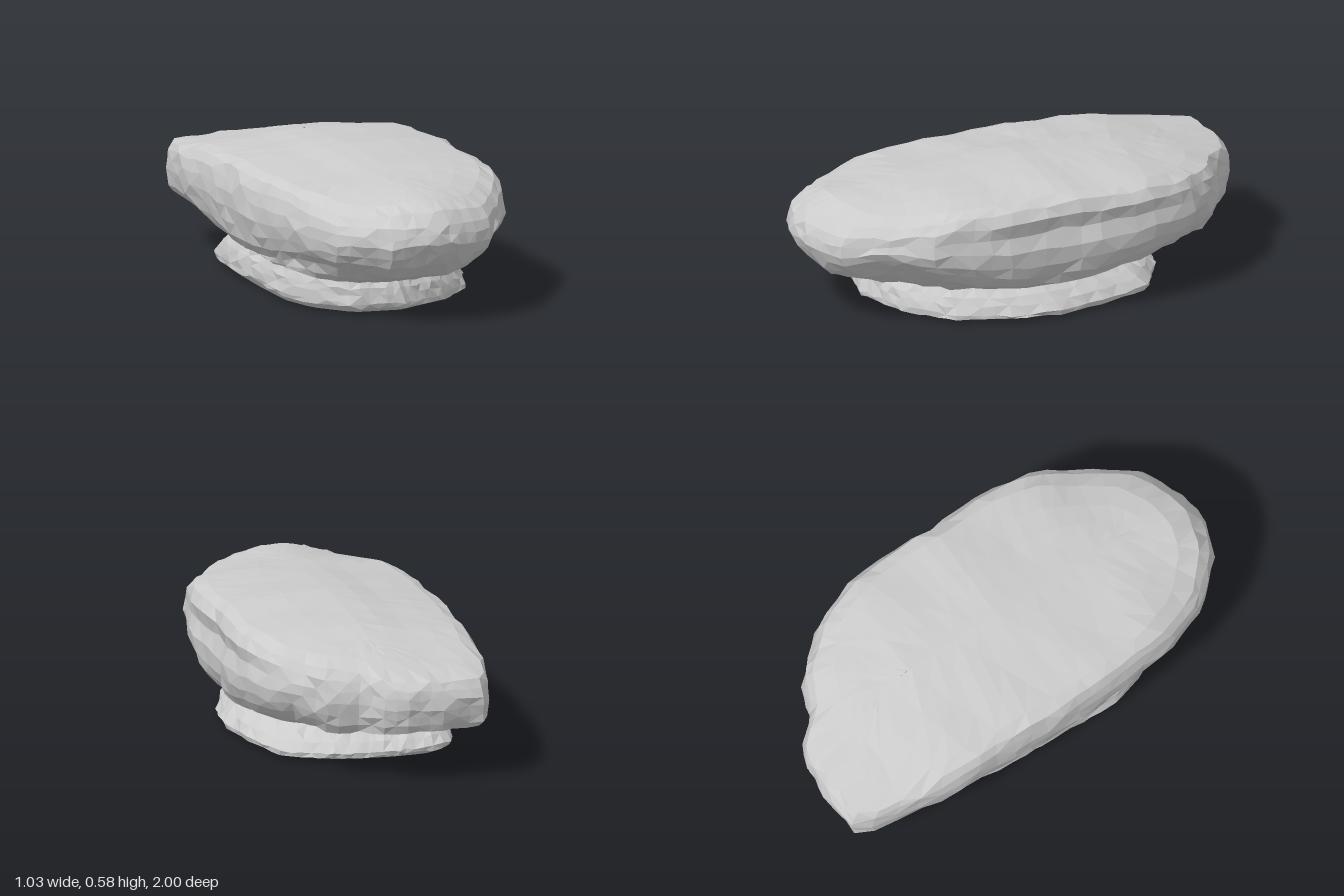
import * as THREE from 'three';

const SEG = 72;
const clamp01 = (v) => THREE.MathUtils.clamp(v, 0, 1);

// Outlines seen from above, as [x, z]
const SLAB = [
  [-0.4, -0.98], [-0.2, -1], [-0.05, -0.985], [0.05, -0.94], [0.11, -0.86], [0.26, -0.8],
  [0.43, -0.62], [0.5, -0.4], [0.51, -0.2], [0.5, 0], [0.51, 0.3], [0.46, 0.55],
  [0.36, 0.72], [0.23, 0.9], [0.07, 0.98], [-0.08, 1], [-0.22, 0.96], [-0.4, 0.78],
  [-0.48, 0.55], [-0.5, 0.3], [-0.51, 0], [-0.5, -0.3], [-0.49, -0.55], [-0.46, -0.75],
];
const FOOT = [
  [-0.39, -0.5], [-0.35, -0.57], [-0.27, -0.61], [-0.1, -0.61], [0.14, -0.57], [0.34, -0.45], [0.42, -0.22],
  [0.45, 0], [0.43, 0.18], [0.33, 0.43], [0.15, 0.6], [-0.07, 0.69], [-0.28, 0.65],
  [-0.41, 0.48], [-0.455, 0.3], [-0.445, 0], [-0.42, -0.3],
];

// Height curves, as [position, height]
const TOP = [[-1, 0.46], [-0.7, 0.515], [-0.45, 0.565], [0, 0.587], [0.4, 0.56], [0.6, 0.545], [0.9, 0.515], [1, 0.47]];
const DROP = [[-0.5, 0.07], [-0.2, 0.035], [-0.05, 0.005], [0.2, 0.008], [0.5, 0.035]];
const UNDER = [[-1, 0.242], [-0.75, 0.2], [-0.55, 0.165], [0.4, 0.165], [0.7, 0.175], [0.9, 0.205], [1, 0.26]];

function curve(points, t) {
  if (t <= points[0][0]) return points[0][1];
  for (let i = 1; i < points.length; i++) {
    const [a, u] = points[i - 1], [b, v] = points[i];
    if (t <= b) return u + (v - u) * (t - a) / (b - a);
  }
  return points[points.length - 1][1];
}

// Point where a ray from the centre crosses an outline
function cross(outline, dx, dz) {
  for (let i = 0; i < outline.length; i++) {
    const [ax, az] = outline[i], [bx, bz] = outline[(i + 1) % outline.length];
    const ex = bx - ax, ez = bz - az, det = dx * ez - dz * ex;
    if (Math.abs(det) < 1e-9) continue;
    const r = (ax * ez - az * ex) / det, s = (ax * dz - az * dx) / det;
    if (r > 0 && s >= -1e-6 && s <= 1 + 1e-6) return [dx * r, dz * r];
  }
  return [0, 0];
}

function seeded(seed) {
  return () => (seed = (seed * 16807) % 2147483647) / 2147483647 - 0.5;
}

// Skin over rings running from the bottom centre to the top ridge
function skin(rings, name) {
  const pos = [], index = [];
  rings.forEach((ring) => ring.forEach((p) => pos.push(...p)));
  for (let i = 0; i < rings.length - 1; i++) {
    for (let j = 0; j < SEG; j++) {
      const a = i * SEG + j, b = i * SEG + (j + 1) % SEG, c = a + SEG, d = b + SEG;
      if ((i + j) % 2) index.push(a, c, b, b, c, d);
      else index.push(a, c, d, a, d, b);
    }
  }
  const g = new THREE.BufferGeometry();
  g.setAttribute('position', new THREE.Float32BufferAttribute(pos, 3));
  g.setIndex(index);
  g.computeVertexNormals();
  const mesh = new THREE.Mesh(g, new THREE.MeshStandardMaterial({ color: 0xcccccc, flatShading: true }));
  mesh.name = name;
  return mesh;
}

export function createModel() {
  const rand = seeded(71);
  const dirs = Array.from({ length: SEG }, (_, j) => {
    const a = (j / SEG) * Math.PI * 2;
    return [Math.cos(a) * 0.55, Math.sin(a)];
  });
  const slab = dirs.map(([x, z]) => cross(SLAB, x, z));
  const foot = dirs.map(([x, z]) => cross(FOOT, x, z));
  const rings = [];

  // Foot: flat sole, flared rim and narrow offset neck, as [scale, height, offset]
  [[0, 0, 0], [0.5, 0.002, 0], [0.93, 0.009, 0], [0.99, 0.026, 0], [1, 0.045, 0],
    [0.97, 0.08, 0.3], [0.93, 0.11, 0.7], [0.88, 0.138, 1]].forEach(([s, y, k], i) => {
    const n = i > 2 ? 0.012 : 0;
    rings.push(foot.map(([x, z]) => [
      x * s - 0.03 * k + rand() * n,
      y - (i > 2 ? 0.02 * x : 0) + rand() * n,
      z * s + 0.05 * k + rand() * n,
    ]));
  });

  // Slab: tapered underside, rounded side and domed top, as [scale, share of thickness]
  const body = [[0.88, 0], [0.945, 0.13], [0.98, 0.28], [1, 0.47], [0.995, 0.66], [0.98, 0.82], [0.935, 0.94],
    [0.84, 0.99], [0.62, 1], [0.4, 1], [0.2, 1], [0, 1]].map(([s, f]) => slab.map(([px, pz]) => {
    // Blunt back end
    const blunt = s > 0.85 ? clamp01((-pz - 0.7) / 0.2) * (f > 0.8 ? 0.45 : 0.75) : 0;
    const k = s + (1 - s) * blunt;
    // The top closes on a lengthwise ridge
    let x = px * k;
    const z = pz * Math.max(k, 0.6 + 0.25 * k);
    const nose = z > 0.5 ? 1.6 * (z - 0.5) * (x + 0.05) ** 2 : 0;
    const top = curve(TOP, z) - curve(DROP, x) * (1 - Math.abs(z) * 0.7) - nose;
    // Undercut at the left front shoulder, and lifted lower corners
    const cut = 0.07 * Math.exp(-(((x - 0.33) / 0.15) ** 2) - ((z - 0.72) / 0.2) ** 2);
    const lift = 0.05 * clamp01((Math.abs(z) - 0.15) / 0.3) * clamp01((Math.abs(x) - 0.2) / 0.15) * clamp01((z + 0.95) / 0.25);
    const low = curve(UNDER, z) + cut + lift;
    const y = low + (top - low) * f;
    // Short groove in the left side
    if (x > 0.3) x -= 0.025 * Math.exp(-(((y - 0.42) / 0.035) ** 2) - (z / 0.5) ** 2);
    const n = f < 0.95 ? 0.014 : s > 0 ? 0.003 : 0;
    const wave = f > 0.9 ? 0.004 * Math.sin(z * 17 + x * 5) * Math.min(1, s * 2) : 0;
    return [x + rand() * n, y + wave + rand() * n, z + rand() * n];
  }));

  // Sloping shoulder between neck and slab
  const neck = rings[rings.length - 1];
  rings.push(neck.map((p, j) => p.map((v, i) => v + (body[0][j][i] - v) * (i === 1 ? 0.4 : 0.5) + rand() * 0.01)));
  rings.push(...body);

  const group = new THREE.Group();
  group.name = 'stone';
  group.add(skin(rings, 'stoneBody'));
  return group;
}
